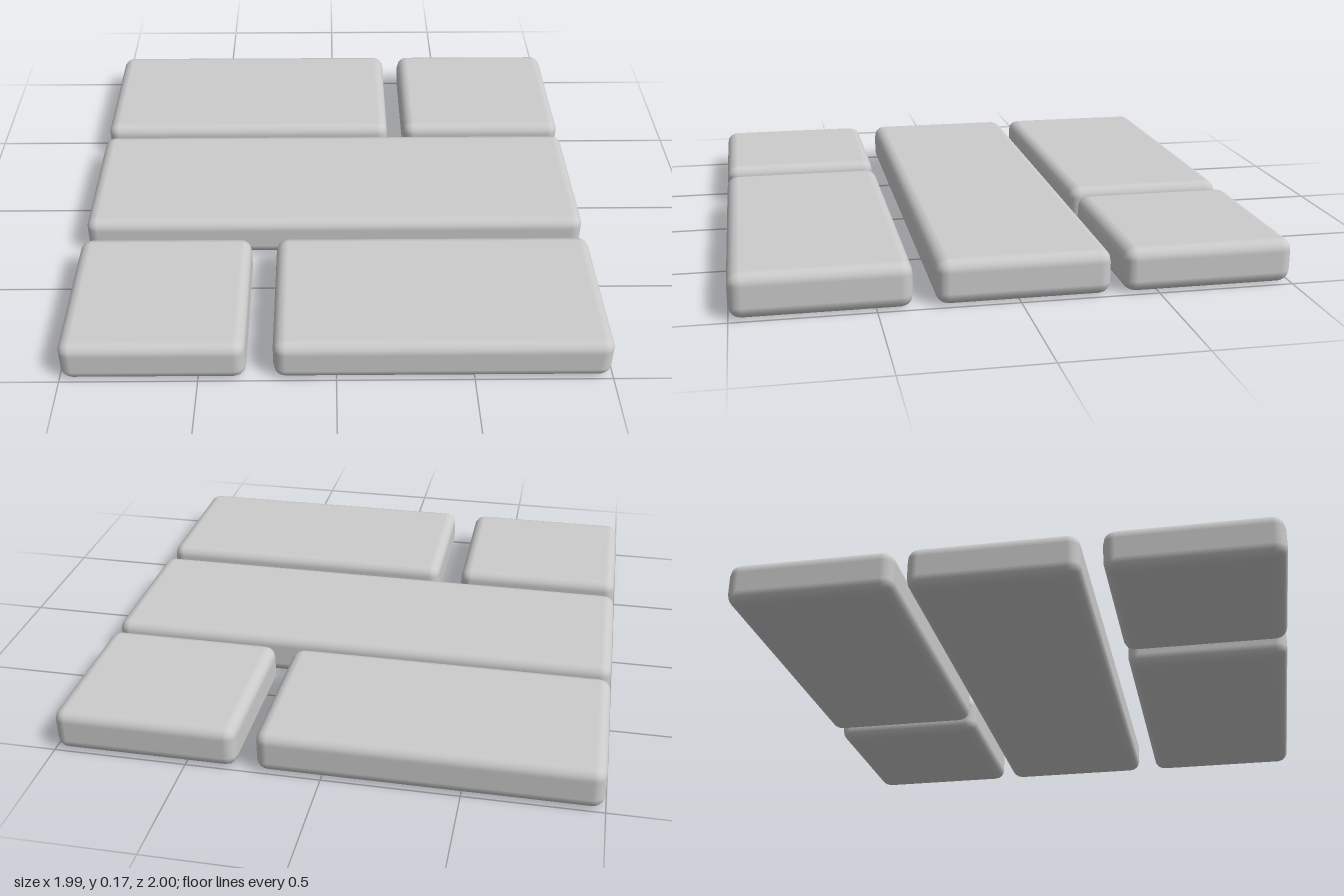
import * as THREE from 'three';
import { RoundedBoxGeometry } from 'three/addons/geometries/RoundedBoxGeometry.js';

const HEIGHT = 0.165;
const RADIUS = 0.045;

export function createModel() {
  const group = new THREE.Group();
  group.name = 'brickPaving';
  const material = new THREE.MeshStandardMaterial({ color: 0xcccccc });

  // Each brick: name, x range, z range
  const bricks = [
    ['backLongBrick', -0.995, 0.24, -1, -0.375],
    ['backShortBrick', 0.31, 0.995, -1, -0.375],
    ['middleBrick', -0.995, 0.995, -0.33, 0.295],
    ['frontShortBrick', -0.995, -0.325, 0.372, 1],
    ['frontLongBrick', -0.228, 0.995, 0.372, 1],
  ];

  for (const [name, x0, x1, z0, z1] of bricks) {
    const brick = new THREE.Mesh(
      new RoundedBoxGeometry(x1 - x0, HEIGHT, z1 - z0, 2, RADIUS),
      material
    );
    brick.name = name;
    brick.position.set((x0 + x1) / 2, HEIGHT / 2, (z0 + z1) / 2);
    group.add(brick);
  }
  return group;
}
